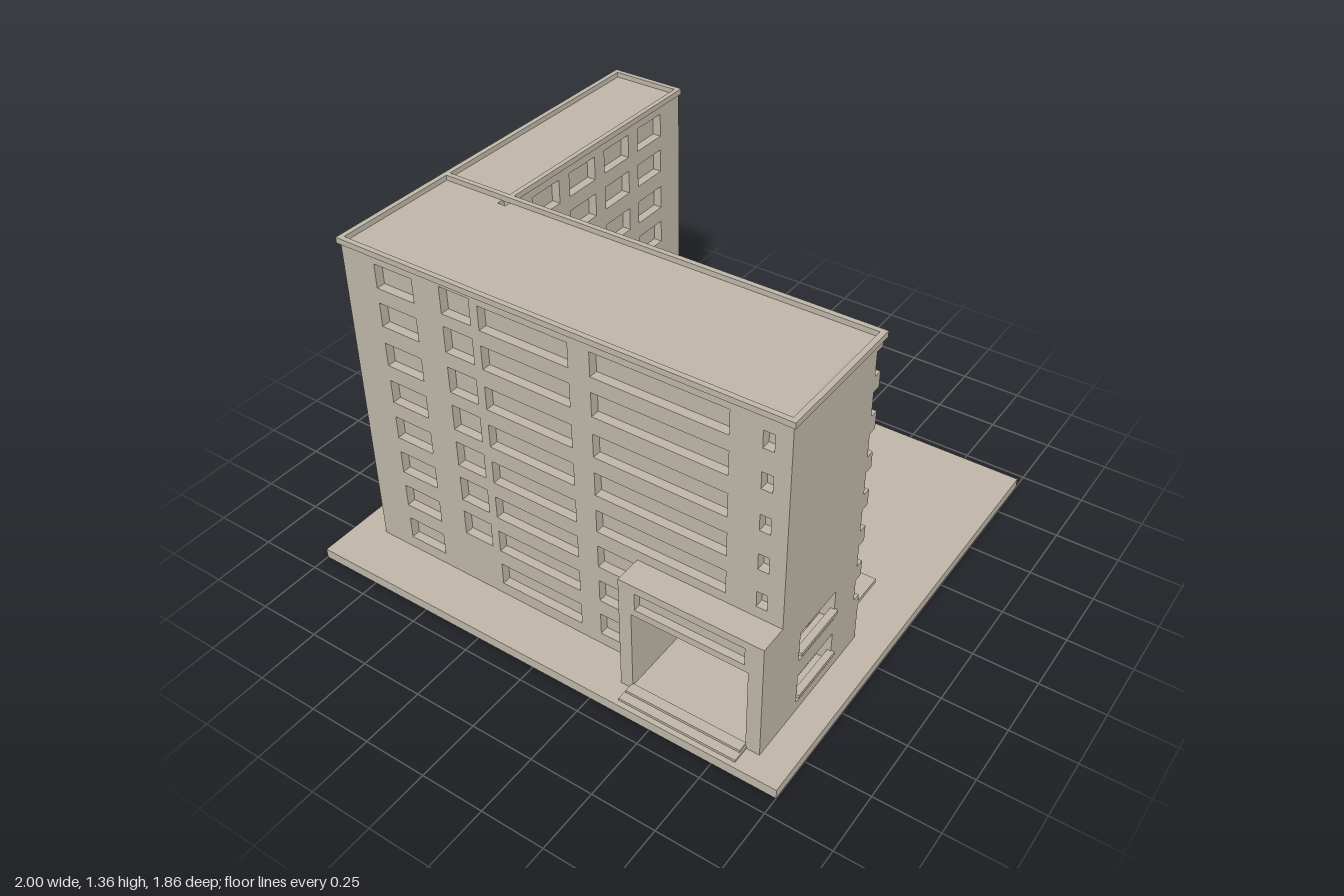
import * as THREE from 'three';

export function createModel() {
  const model = new THREE.Group();
  const concrete = new THREE.MeshStandardMaterial({ color: 0xbfb6a8 });
  concrete.name = 'warm grey concrete';

  const add = (name, geometry, parent = model) => {
    const mesh = new THREE.Mesh(geometry, concrete);
    mesh.name = name;
    parent.add(mesh);
    return mesh;
  };
  // Box given by its limits on each axis
  const block = (name, x0, x1, y0, y1, z0, z1, parent) => {
    const mesh = add(name, new THREE.BoxGeometry(x1 - x0, y1 - y0, z1 - z0), parent);
    mesh.position.set((x0 + x1) / 2, (y0 + y1) / 2, (z0 + z1) / 2);
    return mesh;
  };
  // Wall slab with rectangular openings [u0, u1, v0, v1]
  const wall = (name, outline, holes, depth) => {
    const shape = new THREE.Shape(outline.map(([u, v]) => new THREE.Vector2(u, v)));
    for (const [u0, u1, v0, v1] of holes) {
      const corners = [[u0, v0], [u0, v1], [u1, v1], [u1, v0]];
      shape.holes.push(new THREE.Path(corners.map(([u, v]) => new THREE.Vector2(u, v))));
    }
    return add(name, new THREE.ExtrudeGeometry(shape, { depth, bevelEnabled: false }));
  };
  const rect = (u0, u1, v0, v1) => [[u0, v0], [u1, v0], [u1, v1], [u0, v1]];

  const T = 0.035; // window recess depth
  const floors = [0.09, 0.25, 0.41, 0.57, 0.73, 0.89, 1.055, 1.21]; // sill heights
  const upper = floors.slice(1);

  // Ground slab
  block('groundSlab', -1, 1, 0, 0.04, -0.93, 0.93);

  // Solid cores behind the facades
  block('mainCore', -0.88, 0.88, 0.42, 1.34, 0.2 + T, 0.73 - T);
  block('mainLowerCore', -0.88, 0.37, 0.04, 0.42, 0.2 + T, 0.73 - T);
  block('lobbyRearCore', 0.37, 0.825, 0.04, 0.42, 0.2 + T, 0.42);
  block('wingCore', -0.88, -0.58 - T, 0.04, 1.34, -0.83, 0.2 + T);

  // Front facade, notched around the entrance
  const frontHoles = [];
  floors.forEach((y, i) => {
    frontHoles.push([-0.735, -0.57, y, y + 0.095]);
    frontHoles.push([-0.29, 0.07, y, y + 0.095]);
    frontHoles.push([0.155, i < 3 ? 0.32 : 0.665, y, y + 0.095]);
    if (i > 0) frontHoles.push([-0.45, -0.325, y + 0.005, y + 0.11]);
    if (i > 2) frontHoles.push([0.78, 0.82, y + 0.005, y + 0.07]);
  });
  wall('frontFacade', [[-0.88, 0.04], [0.37, 0.04], [0.37, 0.42], [0.88, 0.42],
    [0.88, 1.34], [-0.88, 1.34]], frontHoles, T).position.z = 0.73 - T;

  // Rear facade, with windows open to the outer corner
  const rearHoles = [];
  for (const y of upper) {
    for (const [a, b] of [[0.36, 0.62], [0.03, 0.29], [-0.3, -0.04], [-0.56, -0.37]]) {
      rearHoles.push([a, b, y, y + 0.095]);
    }
  }
  wall('rearFacade', rect(-0.58, 0.68, 0.04, 1.34), rearHoles, T).position.z = 0.2;
  for (let i = 0; i <= upper.length; i++) {
    const bottom = i ? upper[i - 1] + 0.095 : 0.04;
    const top = i < upper.length ? upper[i] : 1.34;
    block('cornerSpandrel', 0.68, 0.88, bottom, top, 0.2, 0.2 + T);
  }

  // Courtyard facade of the wing
  const wingHoles = [];
  for (const y of upper) {
    wingHoles.push([0.17, 0.195, y, y + 0.095]);
    for (let i = 0; i < 4; i++) {
      const z = -0.063 - i * 0.213;
      wingHoles.push([z, z + 0.153, y, y + 0.095]);
    }
  }
  const wingFacade = wall('wingFacade', rect(-0.83, 0.2, 0.04, 1.34), wingHoles, T);
  wingFacade.rotation.y = -Math.PI / 2;
  wingFacade.position.x = -0.58;

  // Lower side wall, running forward to the entrance
  const sideWall = wall('sideWall',
    [[0.2 + T, 0.04], [0.84, 0.04], [0.84, 0.53], [0.73 - T, 0.53], [0.73 - T, 0.42], [0.2 + T, 0.42]],
    [[0.38, 0.61, 0.08, 0.21], [0.38, 0.61, 0.28, 0.41]], 0.055);
  sideWall.rotation.y = -Math.PI / 2;
  sideWall.position.x = 0.88;
  for (const y of [0.11, 0.312]) block('windowRail', 0.865, 0.892, y, y + 0.015, 0.375, 0.615);

  // Entrance porch
  wall('porchFront', [[0.32, 0.04], [0.37, 0.04], [0.37, 0.4], [0.825, 0.4], [0.825, 0.53], [0.32, 0.53]],
    [[0.385, 0.81, 0.425, 0.498]], 0.03).position.z = 0.81;
  block('porchCheek', 0.32, 0.37, 0.04, 0.53, 0.73, 0.81);
  block('porchRoof', 0.37, 0.825, 0.405, 0.53, 0.73, 0.81);
  block('lobbyFloor', 0.37, 0.825, 0.04, 0.055, 0.42, 0.84);
  block('lowerStep', 0.36, 0.83, 0.04, 0.05, 0.84, 0.91);
  block('upperStep', 0.365, 0.825, 0.05, 0.06, 0.835, 0.875);

  // Sloping lobby ceiling
  const run = 0.4, drop = 0.12;
  const soffit = add('lobbySoffit', new THREE.BoxGeometry(0.455, 0.006, Math.hypot(run, drop)));
  soffit.position.set(0.5975, 0.34, 0.64);
  soffit.rotation.x = -Math.atan2(drop, run);

  // Lobby back wall with three doorways
  const doors = [0.395, 0.54, 0.69].map((x) => [x, x + 0.112, 0.06, 0.2]);
  wall('lobbyDoorWall', rect(0.37, 0.825, 0.04, 0.42), doors, 0.02).position.z = 0.42;

  // Courtyard canopy on fin piers
  block('rearCanopy', -0.58, 0.88, 0.203, 0.22, 0.07, 0.2);
  block('wingCanopy', -0.58, -0.475, 0.203, 0.22, -0.83, 0.07);
  for (const x of [0.8, 0.6, 0.315, 0.03, -0.255]) {
    block('rearPier', x, x + 0.03, 0.04, 0.203, 0.105, 0.2);
  }
  for (const z of [-0.8, -0.615, -0.385, -0.16, 0.07]) {
    block('wingPier', -0.58, -0.505, 0.04, 0.203, z, z + 0.032);
  }

  // Roof parapets
  const parapet = (name, x0, x1, z0, z1) => {
    const group = new THREE.Group();
    group.name = name;
    model.add(group);
    const w = 0.02, y0 = 1.338, y1 = 1.36;
    block('rim', x0, x1, y0, y1, z0, z0 + w, group);
    block('rim', x0, x1, y0, y1, z1 - w, z1, group);
    block('rim', x0, x0 + w, y0, y1, z0 + w, z1 - w, group);
    block('rim', x1 - w, x1, y0, y1, z0 + w, z1 - w, group);
  };
  parapet('mainParapet', -0.89, 0.89, 0.19, 0.74);
  parapet('wingParapet', -0.89, -0.575, -0.84, 0.21);

  return model;
}
